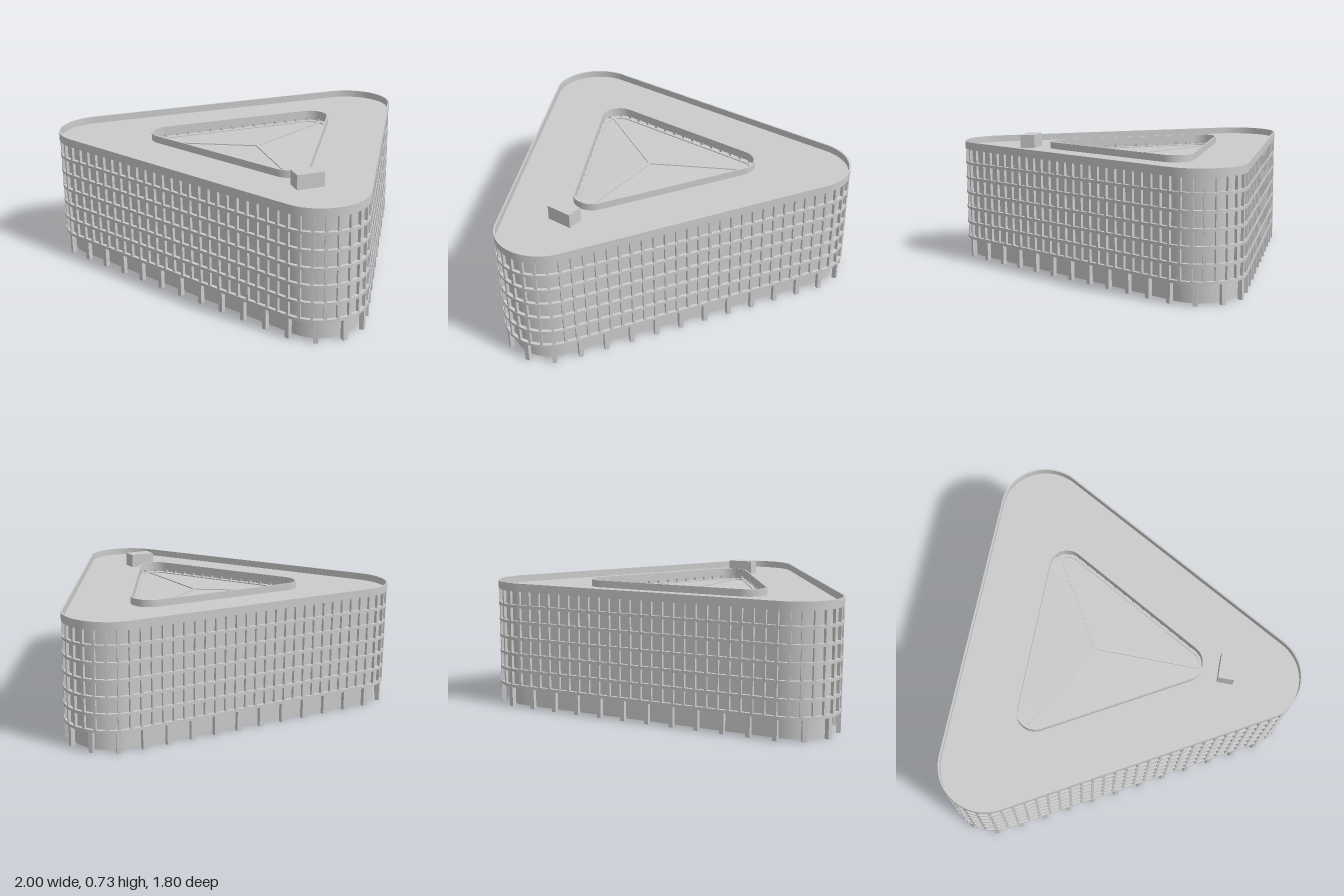
import * as THREE from 'three';
import { mergeGeometries, toCreasedNormals } from 'three/addons/utils/BufferGeometryUtils.js';

const CENTER_Z = 0.216;            // centroid of the triangular plan
const OUTER = [0.866, 0.25];       // corner-centre distance, corner radius
const INNER = [0.484, 0.097];
const FLOORS = 6, STEP = 0.09, BASE = 0.11, SLAB = 0.016;
const ROOF = BASE + FLOORS * STEP, TOP = 0.695;

// Rounded triangle (drawn with y = -z), starting mid-front, grown by d
function outline([R, r], d = 0, PathType = THREE.Shape) {
  const p = new PathType();
  p.moveTo(0, -CENTER_Z - R / 2 - r - d);
  for (const deg of [330, 90, 210]) {
    const a = THREE.MathUtils.degToRad(deg);
    p.absarc(R * Math.cos(a), -CENTER_Z + R * Math.sin(a), r + d, a - Math.PI / 3, a + Math.PI / 3, false);
  }
  p.closePath();
  return p;
}

// Upright prism between two heights, optionally with a hole
function prism(shape, hole, y0, y1) {
  if (hole) shape.holes.push(hole);
  const g = new THREE.ExtrudeGeometry(shape, { depth: y1 - y0, bevelEnabled: false, curveSegments: 24 });
  g.rotateX(-Math.PI / 2).translate(0, y0, 0);
  return toCreasedNormals(g, 0.5);
}
const ring = (dOut, dIn, y0, y1) =>
  prism(outline(OUTER, dOut), outline(INNER, dIn, THREE.Path), y0, y1);

// Copies of a box spaced evenly along a path
function along(path, count, w, h, depth, y0) {
  const parts = [];
  for (let i = 0; i < count; i++) {
    const p = path.getPointAt(i / count), t = path.getTangentAt(i / count);
    parts.push(new THREE.BoxGeometry(w, h, depth)
      .rotateY(Math.atan2(t.y, t.x))
      .translate(p.x, y0 + h / 2, -p.y));
  }
  return parts;
}

export function createModel() {
  const group = new THREE.Group();
  const material = new THREE.MeshStandardMaterial({ color: 0xcccccc });
  const glassMaterial = new THREE.MeshStandardMaterial({ color: 0xcccccc, side: THREE.DoubleSide });
  const add = (name, geometry, mat = material) => {
    const mesh = new THREE.Mesh(geometry, mat);
    mesh.name = name;
    group.add(mesh);
    return mesh;
  };

  // Recessed ground floor and its floor plate
  add('groundFloorWall', prism(outline(OUTER, -0.05), null, 0.004, BASE));

  // Ground columns outside and around the courtyard
  add('outerColumns', mergeGeometries(along(outline(OUTER, -0.014), 42, 0.024, BASE, 0.024, 0)));
  add('courtyardColumns', mergeGeometries(along(outline(INNER, 0.014), 21, 0.02, BASE, 0.02, 0)));

  // Window walls, set back from the slab edges
  add('windowWalls', ring(-0.018, 0.018, BASE, ROOF));

  // Floor slabs and window mullions of every storey
  const slabs = [], mullions = [];
  const outerPath = outline(OUTER, -0.011), innerPath = outline(INNER, 0.011);
  for (let i = 0; i < FLOORS; i++) {
    const y = BASE + i * STEP;
    slabs.push(ring(0, 0, y, y + SLAB));
    mullions.push(...along(outerPath, 96, 0.014, STEP - SLAB, 0.018, y + SLAB));
    mullions.push(...along(innerPath, 48, 0.014, STEP - SLAB, 0.018, y + SLAB));
  }
  add('floorSlabs', mergeGeometries(slabs));
  add('mullions', mergeGeometries(mullions));

  // Roof deck with outer parapet and courtyard kerb
  add('roofDeck', ring(0, 0, ROOF, ROOF + 0.006));
  add('parapet', prism(outline(OUTER), outline(OUTER, -0.009, THREE.Path), ROOF, TOP));
  add('courtyardKerb', prism(outline(INNER, 0.009), outline(INNER, 0, THREE.Path), ROOF, TOP));

  // Shallow glazed courtyard roof: a fan from the middle to the edge
  const edgeY = 0.628, apexY = 0.636;
  const rim = outline(INNER, 0.018).getPoints(12);
  const pos = [];
  rim.forEach((p, i) => {
    const q = rim[(i + 1) % rim.length];
    pos.push(0, apexY, CENTER_Z, p.x, edgeY, -p.y, q.x, edgeY, -q.y);
  });
  const glass = new THREE.BufferGeometry();
  glass.setAttribute('position', new THREE.Float32BufferAttribute(pos, 3));
  glass.computeVertexNormals();
  add('courtyardGlass', glass, glassMaterial);
  add('glassFrame', prism(outline(INNER, 0.018), outline(INNER, -0.012, THREE.Path), edgeY - 0.008, edgeY + 0.006));

  // Three ridge bars of the glass roof
  const length = INNER[0] + INNER[1];
  for (let i = 0; i < 3; i++) {
    const bar = add('ridgeBar', new THREE.BoxGeometry(0.014, 0.012, length).translate(0, 0, -length / 2));
    bar.position.set(0, apexY, CENTER_Z);
    bar.rotation.order = 'YXZ';
    bar.rotation.set(-Math.atan2(apexY - edgeY, length), i * Math.PI * 2 / 3, 0);
  }

  // Plant room on the roof
  const plant = add('roofPlantRoom', new THREE.BoxGeometry(0.086, 0.08, 0.145));
  plant.position.set(0.62, 0.694, 0.57);
  plant.rotation.y = -Math.PI / 6;

  return group;
}
